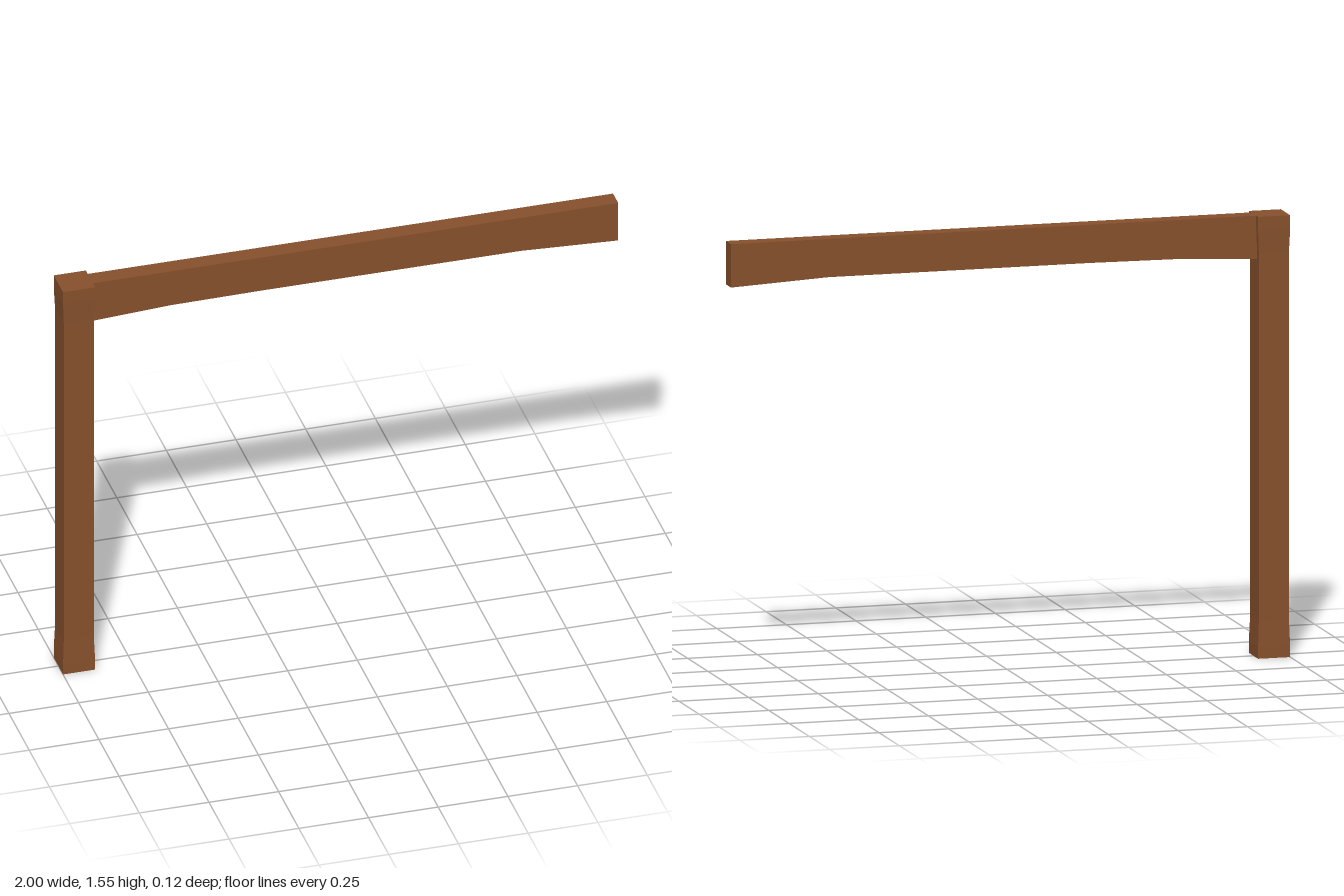
import * as THREE from 'three';

export function createModel() {
  const group = new THREE.Group();
  const wood = new THREE.MeshStandardMaterial({ color: 0x87512d });
  wood.name = 'brown wood';

  // Square post, slightly slimmer between its two ends
  const sections = [[0, 0.0575], [0.04, 0.0575], [0.13, 0.054], [1.42, 0.054], [1.5, 0.0575], [1.55, 0.0575]];
  const postGeometry = new THREE.BoxGeometry(2, 1, 2, 1, sections.length - 1, 1);
  const pos = postGeometry.attributes.position;
  for (let i = 0; i < pos.count; i++) {
    const [y, half] = sections[Math.round((pos.getY(i) + 0.5) * (sections.length - 1))];
    pos.setXYZ(i, pos.getX(i) * half, y, pos.getZ(i) * half);
  }
  const flatPost = postGeometry.toNonIndexed();
  flatPost.computeVertexNormals();
  const post = new THREE.Mesh(flatPost, wood);
  post.name = 'post';
  post.position.x = -0.9425;
  group.add(post);

  // Horizontal beam with a shallow cut along its underside
  const outline = [[-0.89, 1.398], [-0.6, 1.413], [-0.28, 1.416], [0.65, 1.416], [1, 1.398], [1, 1.55], [-0.89, 1.55]];
  const beamShape = new THREE.Shape(outline.map(([x, y]) => new THREE.Vector2(x, y)));
  const beam = new THREE.Mesh(
    new THREE.ExtrudeGeometry(beamShape, { depth: 0.064, bevelEnabled: false }), wood);
  beam.name = 'beam';
  beam.position.z = -0.034;
  group.add(beam);

  return group;
}
